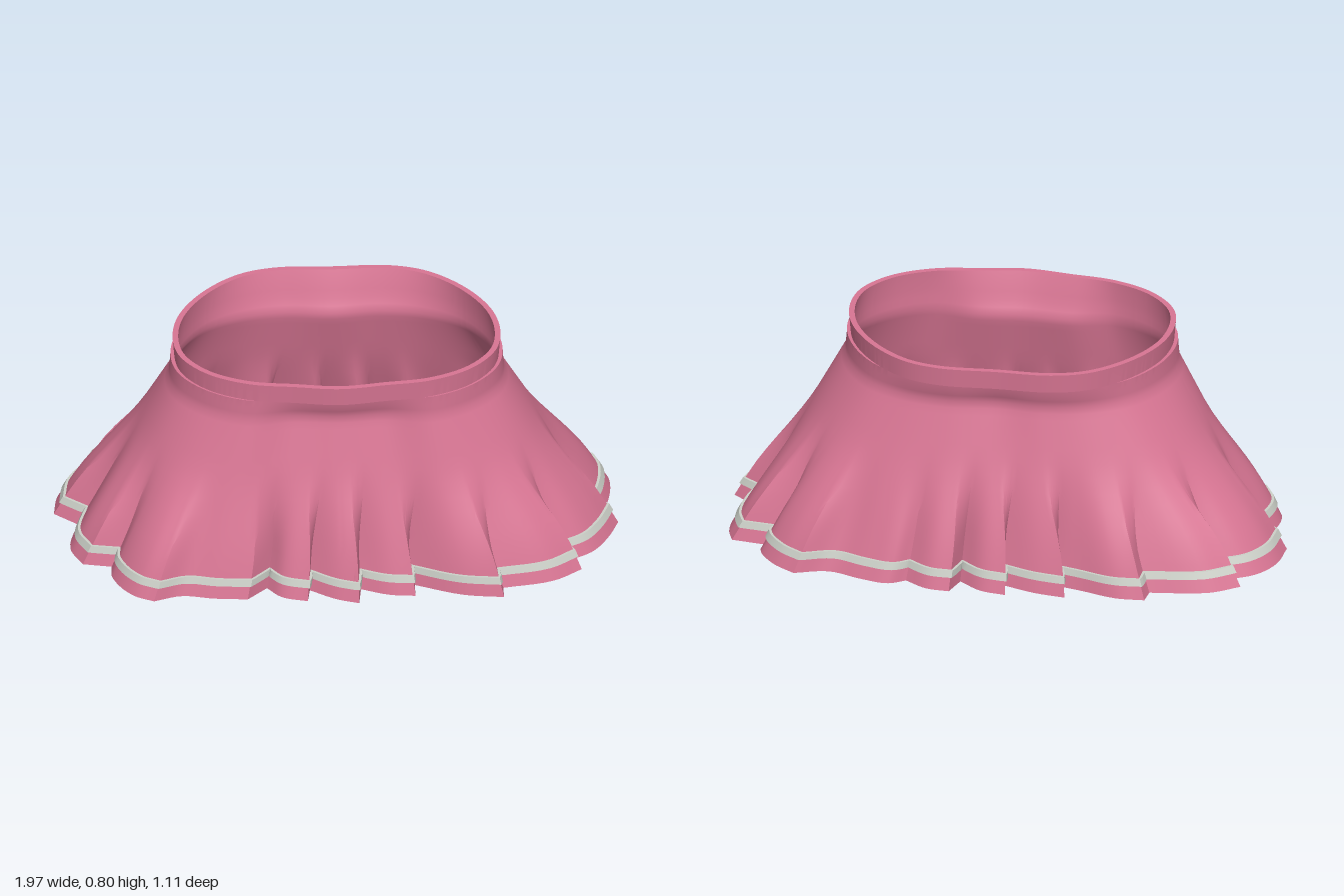
import * as THREE from 'three';
import { toCreasedNormals } from 'three/addons/utils/BufferGeometryUtils.js';

// Hem outline seen from above, in hundredths (x, z), clockwise from the right side
const HEM = [
  -99, -7, -97, -19, -91, -28, -82, -33, -87, -38, -77, -44, -56, -47, -55, -53, -45, -53, -32, -49,
  -25, -47, -27, -55, -16, -53, -5, -49, -6, -56, 3, -54, 11, -48, 14, -56, 22, -55, 30, -50,
  36, -53, 46, -51, 58, -47, 70, -50, 78, -44, 84, -34, 83, -30, 95, -28, 97, -21, 96, -8,
  93, 1, 99, 6, 95, 16, 89, 25, 81, 30, 85, 36, 75, 43, 57, 47, 57, 53, 43, 51,
  26, 44, 26, 51, 17, 50, 7, 46, 6, 55, -2, 52, -11, 46, -12, 53, -21, 50, -26, 44,
  -33, 51, -45, 50, -56, 48, -66, 51, -73, 47, -80, 35, -80, 28, -90, 26, -94, 16, -91, 0,
];
// Half outlines of the waist, back to front
const NECK = [0, -33.5, 16, -35, 32, -32.5, 46, -25, 56, -10, 59, 5, 56, 17, 46, 28, 32, 34.5, 16, 32.5, 0, 33.5];
const RIM = [0, -40, 20, -40, 33, -36, 46, -25, 55, -10, 57.5, 5, 55, 17, 46, 28, 32, 35, 16, 37.5, 0, 39.5];

const toPoints = (a) => Array.from({ length: a.length / 2 },
  (_, i) => new THREE.Vector2(a[2 * i] / 100, a[2 * i + 1] / 100));
const wrap = (a, i) => a[(i + a.length) % a.length];

// Closed curve with smooth lobes and sharp pleat corners
function pleatedOutline(points, steps) {
  const out = [];
  const tangent = (i, seg) => {
    const a = wrap(points, i).clone().sub(wrap(points, i - 1));
    const b = wrap(points, i + 1).clone().sub(wrap(points, i));
    const turn = a.dot(b) / (a.length() * b.length());
    if (turn < 0.7) return seg.clone();
    return a.normalize().add(b.normalize()).normalize().multiplyScalar(seg.length());
  };
  points.forEach((p, i) => {
    const q = wrap(points, i + 1);
    const seg = q.clone().sub(p);
    const m0 = tangent(i, seg), m1 = tangent(i + 1, seg);
    for (let k = 0; k < steps; k++) {
      const t = k / steps, t2 = t * t, t3 = t2 * t;
      out.push(p.clone().multiplyScalar(2 * t3 - 3 * t2 + 1)
        .addScaledVector(m0, t3 - 2 * t2 + t)
        .addScaledVector(q, 3 * t2 - 2 * t3)
        .addScaledVector(m1, t3 - t2));
    }
  });
  return out;
}

// Moving average around a closed outline
function soften(points, reach) {
  return points.map((_, i) => {
    const sum = new THREE.Vector2();
    for (let k = -reach; k <= reach; k++) sum.add(wrap(points, i + k));
    return sum.divideScalar(2 * reach + 1);
  });
}

// Mirrors a half outline and returns the point at any angle
function polarOutline(half) {
  const h = toPoints(half);
  const mirrored = h.slice(1, -1).reverse().map((p) => new THREE.Vector2(-p.x, p.y));
  const curve = new THREE.CatmullRomCurve3(
    [...h, ...mirrored].map((p) => new THREE.Vector3(p.x, 0, p.y)), true);
  const samples = curve.getPoints(400).slice(0, -1)
    .map((p) => ({ a: Math.atan2(p.z, p.x), r: Math.hypot(p.x, p.z) }))
    .sort((p, q) => p.a - q.a);
  const last = samples[samples.length - 1], first = samples[0];
  const table = [{ a: last.a - 2 * Math.PI, r: last.r }, ...samples, { a: first.a + 2 * Math.PI, r: first.r }];
  return (angle) => {
    let i = 1;
    while (i < table.length - 1 && table[i].a < angle) i++;
    const p = table[i - 1], q = table[i];
    const r = THREE.MathUtils.lerp(p.r, q.r, (angle - p.a) / (q.a - p.a || 1));
    return new THREE.Vector2(r * Math.cos(angle), r * Math.sin(angle));
  };
}

const NECK_Y = 0.65, BAND_Y = 0.73, TOP_Y = 0.8;
const hem = pleatedOutline(toPoints(HEM), 5);
const softHem = soften(soften(hem, 11), 11);
const angles = softHem.map((p) => Math.atan2(p.y, p.x));
const neck = angles.map(polarOutline(NECK));
const rim = angles.map(polarOutline(RIM));

// Horizontal outline of the cloth at height y; the pleats fade out upwards
function clothOutline(y) {
  if (y >= NECK_Y) {
    const t = 0.5 * THREE.MathUtils.smoothstep(y, NECK_Y - 0.02, BAND_Y);
    return neck.map((p, j) => p.clone().lerp(rim[j], t));
  }
  const t = 1 - y / NECK_Y;
  const fade = 1 - THREE.MathUtils.smoothstep(y, 0.1, 0.46);
  return neck.map((p, j) => p.clone().lerp(softHem[j], t)
    .addScaledVector(hem[j].clone().sub(softHem[j]), fade));
}

// Moves an outline outwards (or inwards when negative)
function offset(points, d) {
  return points.map((p, j) => {
    const t = wrap(points, j + 1).clone().sub(wrap(points, j - 1)).normalize();
    return new THREE.Vector2(p.x + t.y * d, p.y - t.x * d);
  });
}

// Closed skin through a stack of rings
function skin(rings, crease) {
  const n = hem.length, position = [], index = [];
  for (const { y, points } of rings) for (const p of points) position.push(p.x, y, p.y);
  rings.forEach((_, i) => {
    const up = (i + 1) % rings.length;
    for (let j = 0; j < n; j++) {
      const k = (j + 1) % n;
      const a = i * n + j, b = up * n + j, c = i * n + k, d = up * n + k;
      index.push(a, b, c, c, b, d);
    }
  });
  const geometry = new THREE.BufferGeometry();
  geometry.setAttribute('position', new THREE.Float32BufferAttribute(position, 3));
  geometry.setIndex(index);
  return toCreasedNormals(geometry, crease);
}

export function createModel() {
  const pink = new THREE.MeshStandardMaterial({ color: 0xd97694 });
  pink.name = 'pink cloth';
  const silver = new THREE.MeshStandardMaterial({ color: 0xcdd1c9 });
  silver.name = 'pale grey trim';

  const group = new THREE.Group();
  group.name = 'pleatedSkirt';
  const add = (name, geometry, material) => {
    const mesh = new THREE.Mesh(geometry, material);
    mesh.name = name;
    group.add(mesh);
  };

  // Skirt: outside going up, waistband, then the lining going down
  const heights = [0.005];
  for (let y = 0.05; y < 0.6; y += 0.05) heights.push(y);
  heights.push(0.6, 0.625, 0.65, 0.675, 0.7, BAND_Y);
  const outside = heights.map((y) => ({ y, points: clothOutline(y) }));
  const band = [
    { y: BAND_Y, points: offset(rim, -0.006) },
    { y: TOP_Y, points: rim },
    { y: TOP_Y, points: offset(rim, -0.02) },
  ];
  const lining = heights.slice().reverse()
    .map((y) => ({ y, points: offset(clothOutline(y), -0.014) }));
  add('skirt', skin([...outside, ...band, ...lining], 0.7), pink);

  // Trim ribbon following the pleats just above the hem
  const low = clothOutline(0.055), high = clothOutline(0.08);
  add('hemTrim', skin([
    { y: 0.055, points: offset(low, -0.002) },
    { y: 0.055, points: offset(low, 0.009) },
    { y: 0.08, points: offset(high, 0.009) },
    { y: 0.08, points: offset(high, -0.002) },
  ], 0.7), silver);

  return group;
}
